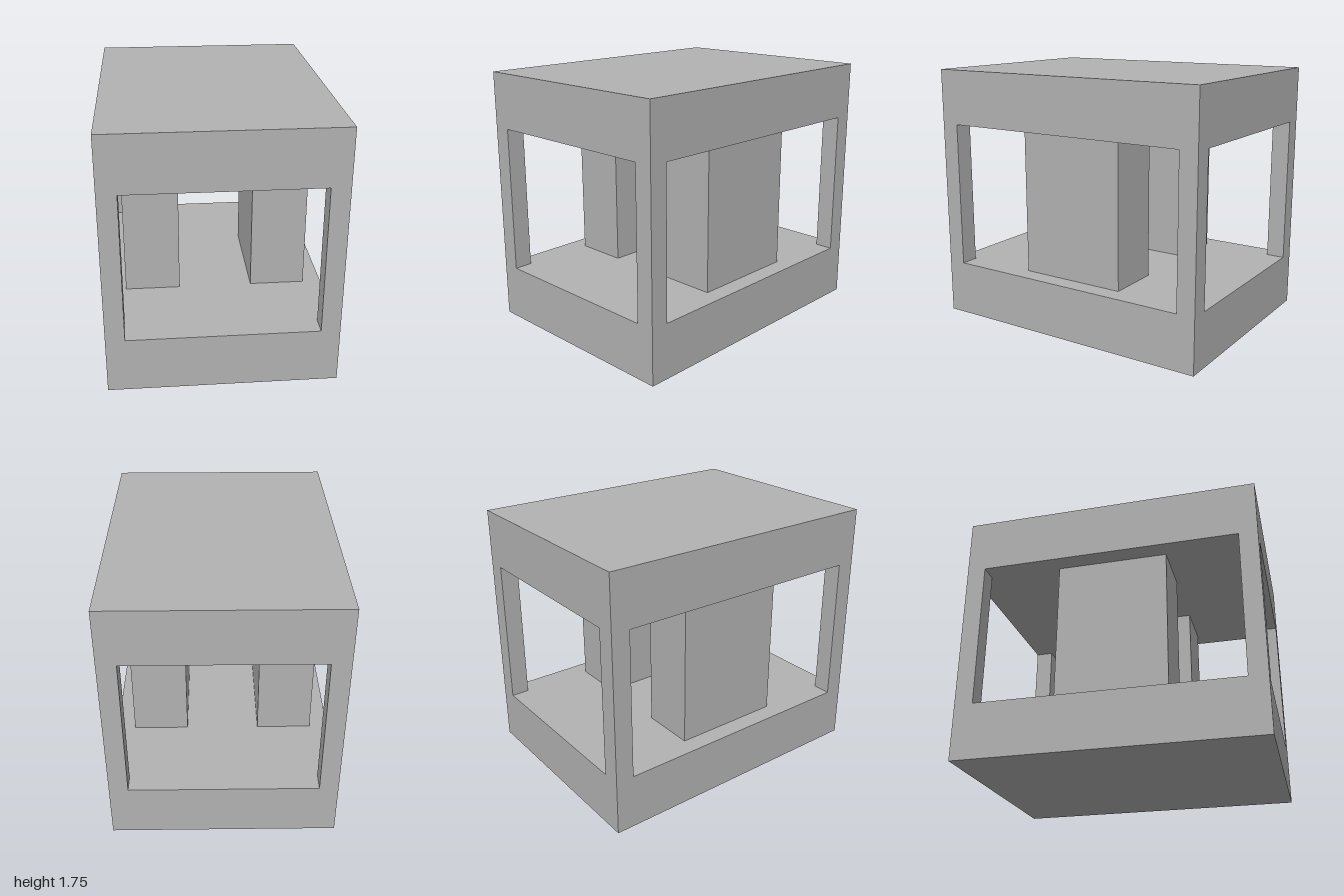
import * as THREE from 'three';

const W = 1.5, D = 2, SLAB = 0.375, GAP = 1, POST = 0.125;

export function createModel() {
  const model = new THREE.Group();
  model.name = 'pavilion';
  const grey = new THREE.MeshStandardMaterial({ color: 0xb2b2b2 });
  grey.name = 'grey';

  // Box standing on the given y
  const block = (name, w, h, d, x, y, z) => {
    const mesh = new THREE.Mesh(new THREE.BoxGeometry(w, h, d), grey);
    mesh.name = name;
    mesh.position.set(x, y + h / 2, z);
    model.add(mesh);
  };

  // Thick base and roof
  block('base', W, SLAB, D, 0, 0, 0);
  block('roof', W, SLAB, D, 0, SLAB + GAP, 0);

  for (const [side, sx] of [['left', 1], ['right', -1]]) {
    // Thin corner posts, flush with the outside
    for (const [end, sz] of [['Front', 1], ['Back', -1]]) {
      block(`${side}${end}Post`, POST, GAP, POST,
        sx * (W - POST) / 2, SLAB, sz * (D - POST) / 2);
    }
    // Broad pillar set in from the side
    block(`${side}Pillar`, 0.375, GAP, 0.75, sx * 0.4375, SLAB, 0);
  }
  return model;
}
